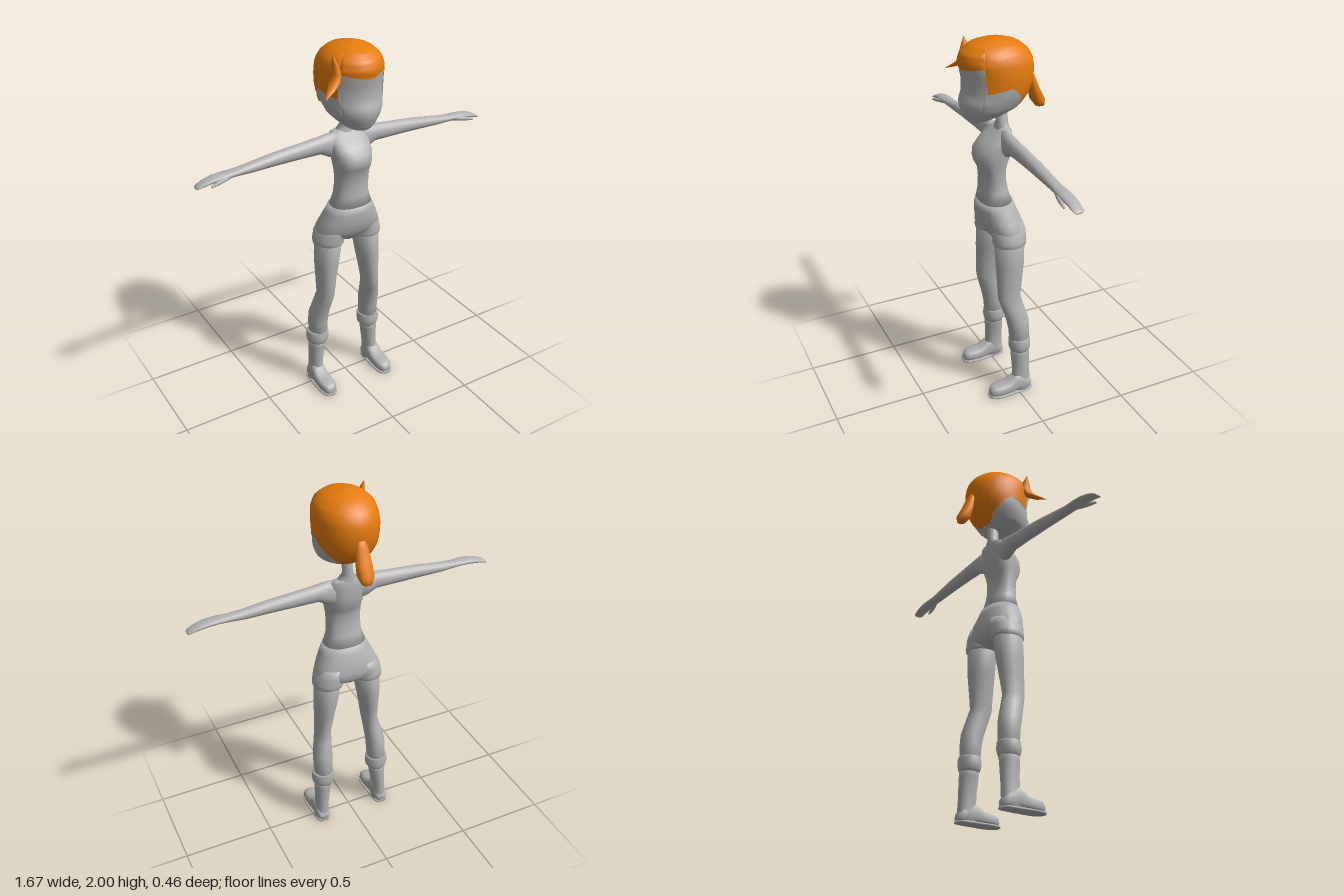
import * as THREE from 'three';

const skin = new THREE.MeshStandardMaterial({ color: 0xb2b2b2, side: THREE.DoubleSide });
skin.name = 'plain grey';
const orange = new THREE.MeshStandardMaterial({ color: 0xe67c0e, side: THREE.DoubleSide });
orange.name = 'orange hair';

// Skins a list of closed rings of points, turning faces outward
function skinRings(rings) {
  const n = rings[0].length, pos = [], idx = [];
  const mid = new THREE.Vector3();
  rings.forEach(r => r.forEach(p => { pos.push(p.x, p.y, p.z); mid.add(p); }));
  mid.divideScalar(n * rings.length);
  const all = rings.flat().map(p => p.clone().sub(mid));
  let volume = 0;
  const tri = (a, b, c) => {
    idx.push(a, b, c);
    volume += all[a].dot(all[b].clone().cross(all[c]));
  };
  for (let i = 0; i < rings.length - 1; i++) {
    for (let j = 0; j < n; j++) {
      const k = (j + 1) % n, a = i * n + j, b = i * n + k, c = a + n, d = b + n;
      tri(a, b, d);
      tri(a, d, c);
    }
  }
  if (volume < 0) idx.reverse();
  const g = new THREE.BufferGeometry();
  g.setAttribute('position', new THREE.Float32BufferAttribute(pos, 3));
  g.setIndex(idx);
  g.computeVertexNormals();
  return g;
}

// Sections are [position on axis, centre u, centre v, radius u, radius v]
// axis y: u = x, v = z; axis x: u = y, v = z; axis z: u = x, v = y
function loft(sections, axis = 'y', power = 2, sides = 20) {
  const first = sections[0], last = sections[sections.length - 1];
  const closed = [[first[0], first[1], first[2], 0, 0], ...sections, [last[0], last[1], last[2], 0, 0]];
  const bend = v => Math.sign(v) * Math.abs(v) ** (2 / power);
  return skinRings(closed.map(([s, cu, cv, ru, rv]) => Array.from({ length: sides }, (_, j) => {
    const a = (j / sides) * Math.PI * 2;
    const u = cu + ru * bend(Math.cos(a)), v = cv + rv * bend(Math.sin(a));
    if (axis === 'x') return new THREE.Vector3(s, u, v);
    if (axis === 'z') return new THREE.Vector3(u, v, s);
    return new THREE.Vector3(u, s, v);
  })));
}

// Linear lookup in rows sorted by their first value
function lookup(rows, t) {
  let i = 0;
  while (i < rows.length - 2 && t > rows[i + 1][0]) i++;
  const a = rows[i], b = rows[i + 1];
  const f = THREE.MathUtils.clamp((t - a[0]) / (b[0] - a[0]), 0, 1);
  return a.map((v, k) => v + (b[k] - v) * f);
}

// Head profile: [y, back z, front z, half width]
const headRows = [
  [1.588, 0.17, 0.17, 0], [1.592, 0.13, 0.192, 0.045], [1.605, 0.07, 0.203, 0.075],
  [1.63, -0.01, 0.215, 0.103], [1.66, -0.075, 0.228, 0.13], [1.70, -0.11, 0.232, 0.146],
  [1.74, -0.135, 0.214, 0.157], [1.80, -0.15, 0.212, 0.163], [1.85, -0.153, 0.222, 0.163],
  [1.90, -0.145, 0.23, 0.158], [1.94, -0.12, 0.217, 0.143], [1.975, -0.075, 0.172, 0.105],
  [1.993, -0.02, 0.11, 0.055], [2.0, 0.045, 0.045, 0],
];
// Hairline: [degrees from the front, y]
const hairline = [[0, 1.86], [52, 1.885], [54, 1.76], [93, 1.785], [155, 1.65], [180, 1.645]];

function headSurface(toY, grow) {
  const half = [0, 10, 20, 30, 40, 47, 52, 54, 62, 72, 82, 93, 105, 118, 130, 142, 155, 168];
  const angles = [...half, 180, ...half.slice(1).reverse().map(a => -a)];
  const rings = [];
  for (let i = 0; i <= 18; i++) {
    const s = Math.sin((i / 18) * Math.PI / 2);
    rings.push(angles.map(deg => {
      const edge = lookup(hairline, Math.abs(deg))[1];
      const y = edge + (toY - edge) * s;
      const [, back, front, hw] = lookup(headRows, y);
      const a = THREE.MathUtils.degToRad(deg);
      return new THREE.Vector3(hw * grow * Math.sin(a), y,
        (back + front) / 2 + (front - back) / 2 * grow * Math.cos(a));
    }));
  }
  return skinRings(rings);
}

export function createModel() {
  const model = new THREE.Group();
  const add = (name, geometry, material = skin) => {
    const m = new THREE.Mesh(geometry, material);
    m.name = name;
    model.add(m);
  };

  // Head and hair
  add('face', headSurface(1.588, 1));
  add('hairCap', headSurface(2.0, 1.012), orange);
  add('ponytail', loft([
    [1.82, 0, -0.135, 0.02, 0.015], [1.78, 0, -0.152, 0.032, 0.02], [1.71, 0, -0.173, 0.042, 0.028],
    [1.65, 0, -0.195, 0.043, 0.037], [1.615, 0, -0.208, 0.026, 0.024],
  ], 'y', 2.3, 12), orange);
  add('sideLock', loft([
    [1.975, -0.152, 0.14, 0.002, 0.002], [1.93, -0.14, 0.14, 0.017, 0.022], [1.89, -0.135, 0.145, 0.02, 0.032],
    [1.85, -0.15, 0.152, 0.028, 0.032], [1.825, -0.185, 0.18, 0.022, 0.02], [1.80, -0.232, 0.21, 0.002, 0.002],
  ], 'y', 2, 10), orange);

  // Trunk
  add('neck', loft([
    [1.68, 0, 0.008, 0.028, 0.032], [1.565, 0, 0.006, 0.028, 0.032], [1.535, 0, 0.006, 0.06, 0.034],
    [1.50, 0, 0.01, 0.08, 0.04],
  ]));
  add('torso', loft([
    [1.54, 0, 0.005, 0.07, 0.028], [1.53, 0, 0.005, 0.09, 0.034], [1.50, 0, 0.025, 0.105, 0.057],
    [1.465, 0, 0.045, 0.108, 0.078], [1.43, 0, 0.062, 0.107, 0.094], [1.39, 0, 0.067, 0.103, 0.094],
    [1.36, 0, 0.07, 0.099, 0.083], [1.32, 0, 0.066, 0.095, 0.066], [1.26, 0, 0.063, 0.093, 0.064],
    [1.20, 0, 0.058, 0.095, 0.072], [1.12, 0, 0.052, 0.121, 0.088],
  ], 'y', 2.3, 28));
  add('shorts', loft([
    [1.14, 0, 0.051, 0.118, 0.091], [1.10, 0, 0.046, 0.138, 0.098], [1.05, 0, 0.034, 0.162, 0.107],
    [1.0, 0, 0.024, 0.183, 0.105], [0.965, 0, 0.016, 0.183, 0.094], [0.94, 0, 0.014, 0.12, 0.075],
    [0.918, 0, 0.014, 0.04, 0.05],
  ], 'y', 2.3, 28));

  for (const [side, s] of [['left', 1], ['right', -1]]) {
    // Sections of the +x side, mirrored for the other
    const upright = rows => rows.map(([y, cx, cz, rx, rz]) => [y, s * cx, cz, rx, rz]);
    const sideways = rows => rows.map(([x, ...rest]) => [s * x, ...rest]);

    // Arm with a mitten hand and a thumb
    add(side + 'Arm', loft(sideways([
      [0.05, 1.465, 0.02, 0.07, 0.036], [0.11, 1.472, 0.02, 0.064, 0.04], [0.16, 1.482, 0.02, 0.046, 0.038],
      [0.28, 1.477, 0.02, 0.04, 0.035], [0.41, 1.472, 0.022, 0.034, 0.034], [0.55, 1.462, 0.024, 0.025, 0.031],
      [0.62, 1.46, 0.028, 0.019, 0.03], [0.68, 1.461, 0.031, 0.016, 0.034], [0.74, 1.457, 0.031, 0.016, 0.034],
      [0.79, 1.447, 0.031, 0.013, 0.031], [0.825, 1.435, 0.031, 0.008, 0.027], [0.835, 1.43, 0.031, 0.004, 0.02],
    ]), 'x'));
    add(side + 'Thumb', loft(sideways([
      [0.65, 1.457, 0.045, 0.01, 0.012], [0.70, 1.452, 0.06, 0.011, 0.014], [0.74, 1.446, 0.07, 0.01, 0.011],
      [0.775, 1.438, 0.075, 0.005, 0.006],
    ]), 'x', 2, 10));

    // Shorts leg with its hem, then the bare leg
    add(side + 'ShortsLeg', loft(upright([
      [1.03, 0.09, 0.02, 0.07, 0.09], [0.985, 0.103, 0.018, 0.086, 0.094], [0.945, 0.113, 0.016, 0.082, 0.09],
      [0.94, 0.113, 0.016, 0.085, 0.092], [0.92, 0.114, 0.016, 0.083, 0.09], [0.918, 0.114, 0.016, 0.077, 0.083],
    ])));
    add(side + 'Leg', loft(upright([
      [0.95, 0.113, 0.017, 0.076, 0.083], [0.80, 0.128, 0.02, 0.063, 0.079], [0.70, 0.136, 0.025, 0.052, 0.071],
      [0.60, 0.143, 0.03, 0.043, 0.064], [0.55, 0.151, 0.016, 0.046, 0.064], [0.46, 0.164, -0.01, 0.054, 0.063],
      [0.40, 0.166, -0.018, 0.054, 0.059], [0.30, 0.167, -0.022, 0.05, 0.054],
    ])));

    // Boot: rolled cuff, shaft, foot and sole
    add(side + 'BootCuff', loft(upright([
      [0.342, 0.168, -0.022, 0.056, 0.054], [0.335, 0.168, -0.022, 0.062, 0.059],
      [0.30, 0.169, -0.021, 0.065, 0.061], [0.275, 0.169, -0.021, 0.06, 0.057], [0.262, 0.169, -0.022, 0.05, 0.053],
    ])));
    add(side + 'BootShaft', loft(upright([
      [0.29, 0.17, -0.022, 0.052, 0.054], [0.24, 0.173, -0.022, 0.047, 0.053], [0.16, 0.179, -0.025, 0.04, 0.051],
      [0.11, 0.182, -0.025, 0.037, 0.051], [0.06, 0.185, -0.024, 0.039, 0.053], [0.005, 0.186, -0.024, 0.041, 0.054],
    ])));
    // Foot outline: [z, half width, height]
    const foot = [[-0.078, 0.025, 0.05], [-0.055, 0.038, 0.08], [0, 0.042, 0.115], [0.03, 0.043, 0.098],
      [0.06, 0.045, 0.076], [0.10, 0.046, 0.068], [0.14, 0.041, 0.064], [0.16, 0.029, 0.054], [0.168, 0.018, 0.04]];
    add(side + 'Foot', loft(foot.map(([z, w, h]) => [z, s * 0.187, h / 2 + 0.002, w, h / 2 - 0.002]), 'z', 2.8));
    add(side + 'Sole', loft(foot.map(([z, w]) => [z * 1.03, s * 0.187, 0.006, w + 0.003, 0.006]), 'z', 6));
  }
  return model;
}
